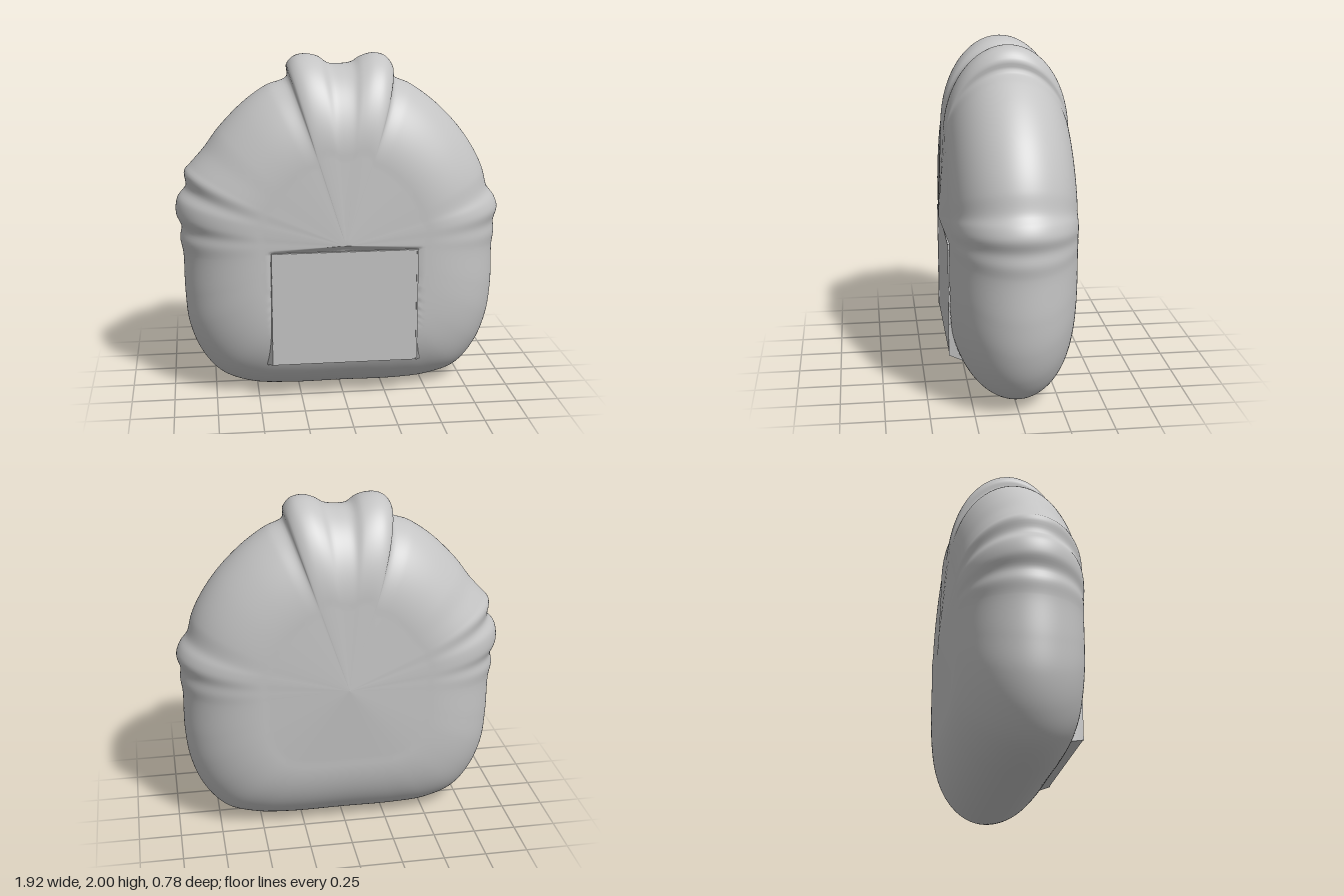
import * as THREE from 'three';

// Outline of the cushion, clockwise from the top centre (x, y pairs)
const OUTLINE = [
  0, 1.94, 0.08, 1.95, 0.13, 1.98, 0.2, 2.0, 0.27, 1.985, 0.315, 1.93, 0.318, 1.87, 0.42, 1.82,
  0.56, 1.72, 0.7, 1.58, 0.8, 1.44, 0.86, 1.32, 0.895, 1.2, 0.94, 1.14, 0.96, 1.08, 0.94, 1.0,
  0.945, 0.93, 0.935, 0.85, 0.935, 0.6, 0.91, 0.4, 0.84, 0.22, 0.72, 0.08, 0.55, 0.02, 0.35, 0,
  0, 0, -0.33, 0, -0.55, 0.02, -0.72, 0.09, -0.83, 0.22, -0.9, 0.4, -0.92, 0.6, -0.925, 0.84,
  -0.94, 0.93, -0.93, 1.0, -0.96, 1.08, -0.95, 1.17, -0.9, 1.24, -0.905, 1.33, -0.87, 1.37,
  -0.79, 1.46, -0.7, 1.58, -0.55, 1.73, -0.42, 1.82, -0.3, 1.87, -0.3, 1.94, -0.26, 1.985,
  -0.2, 2.0, -0.12, 1.985, -0.06, 1.945,
];
const CENTRE_Y = 0.95;
const SEGMENTS = 400;
const PANEL = { x: 0.425, bottom: 0.235, top: 0.91, z: 0.364 };

function indexedGeometry(positions, indices) {
  const geo = new THREE.BufferGeometry();
  geo.setAttribute('position', new THREE.Float32BufferAttribute(positions, 3));
  geo.setIndex(indices);
  geo.computeVertexNormals();
  return geo;
}

// Side profile from the front pole to the back pole: [scale of outline, z]
function cushionProfile() {
  const half = [];
  for (let i = 0; i < 24; i++) half.push([0.5 * i / 24, 0.39 - 0.03 * i / 24]);
  for (let i = 0; i <= 32; i++) {
    const a = (i / 32) * Math.PI / 2;
    half.push([0.5 + 0.5 * Math.sin(a), 0.36 * Math.cos(a)]);
  }
  const back = half.slice(0, -1).reverse().map(([t, z]) => [t, -z]);
  return [...half, ...back];
}

// Press the front in behind the panel, with a short ramp around it
function pressIn(x, y, z) {
  const outside = Math.max(Math.abs(x) - PANEL.x, y - PANEL.top, PANEL.bottom - y, 0);
  return Math.min(z, 0.352 + outside * 0.9);
}

function cushionGeometry() {
  const points = [];
  for (let i = 0; i < OUTLINE.length; i += 2) {
    points.push(new THREE.Vector3(OUTLINE[i], OUTLINE[i + 1], 0));
  }
  const rim = new THREE.CatmullRomCurve3(points, true).getSpacedPoints(SEGMENTS).slice(0, SEGMENTS);
  const positions = [], indices = [];
  cushionProfile().forEach(([t, z], k, rings) => {
    rim.forEach((p, j) => {
      const x = p.x * t;
      const y = Math.max(0, CENTRE_Y + (p.y - CENTRE_Y) * t);
      positions.push(x, y, pressIn(x, y, z));
      if (k === rings.length - 1) return;
      const a = k * SEGMENTS + j, b = k * SEGMENTS + (j + 1) % SEGMENTS;
      const c = a + SEGMENTS, d = b + SEGMENTS;
      if (k > 0) indices.push(a, b, c);
      if (k < rings.length - 2) indices.push(b, d, c);
    });
  });
  return indexedGeometry(positions, indices);
}

// Block whose front face is smaller than its base
function panelGeometry() {
  const geo = new THREE.BoxGeometry(1, 1, 1);
  const pos = geo.attributes.position;
  for (let i = 0; i < pos.count; i++) {
    const front = pos.getZ(i) > 0, low = pos.getY(i) < 0;
    const x = Math.sign(pos.getX(i)) * (front ? PANEL.x : low ? 0.47 : 0.43);
    const y = low ? (front ? PANEL.bottom : 0.2) : PANEL.top;
    pos.setXYZ(i, x, y, front ? PANEL.z : 0.25);
  }
  geo.computeVertexNormals();
  return geo;
}

export function createModel() {
  const grey = new THREE.MeshStandardMaterial({ color: 0xc4c4c4 });
  grey.name = 'light grey';
  const group = new THREE.Group();
  group.name = 'cushion';
  const add = (name, geo) => {
    const mesh = new THREE.Mesh(geo, grey);
    mesh.name = name;
    group.add(mesh);
    return mesh;
  };

  add('puffedBody', cushionGeometry());
  add('frontPanel', panelGeometry());

  // Thin raised rim along the sides and top of the panel
  const height = PANEL.top - PANEL.bottom;
  for (const side of [-1, 1]) {
    add('panelSideRim', new THREE.BoxGeometry(0.009, height, 0.008))
      .position.set(side * (PANEL.x - 0.005), PANEL.bottom + height / 2, PANEL.z);
  }
  add('panelTopRim', new THREE.BoxGeometry(PANEL.x * 2, 0.009, 0.008))
    .position.set(0, PANEL.top - 0.005, PANEL.z);
  return group;
}
